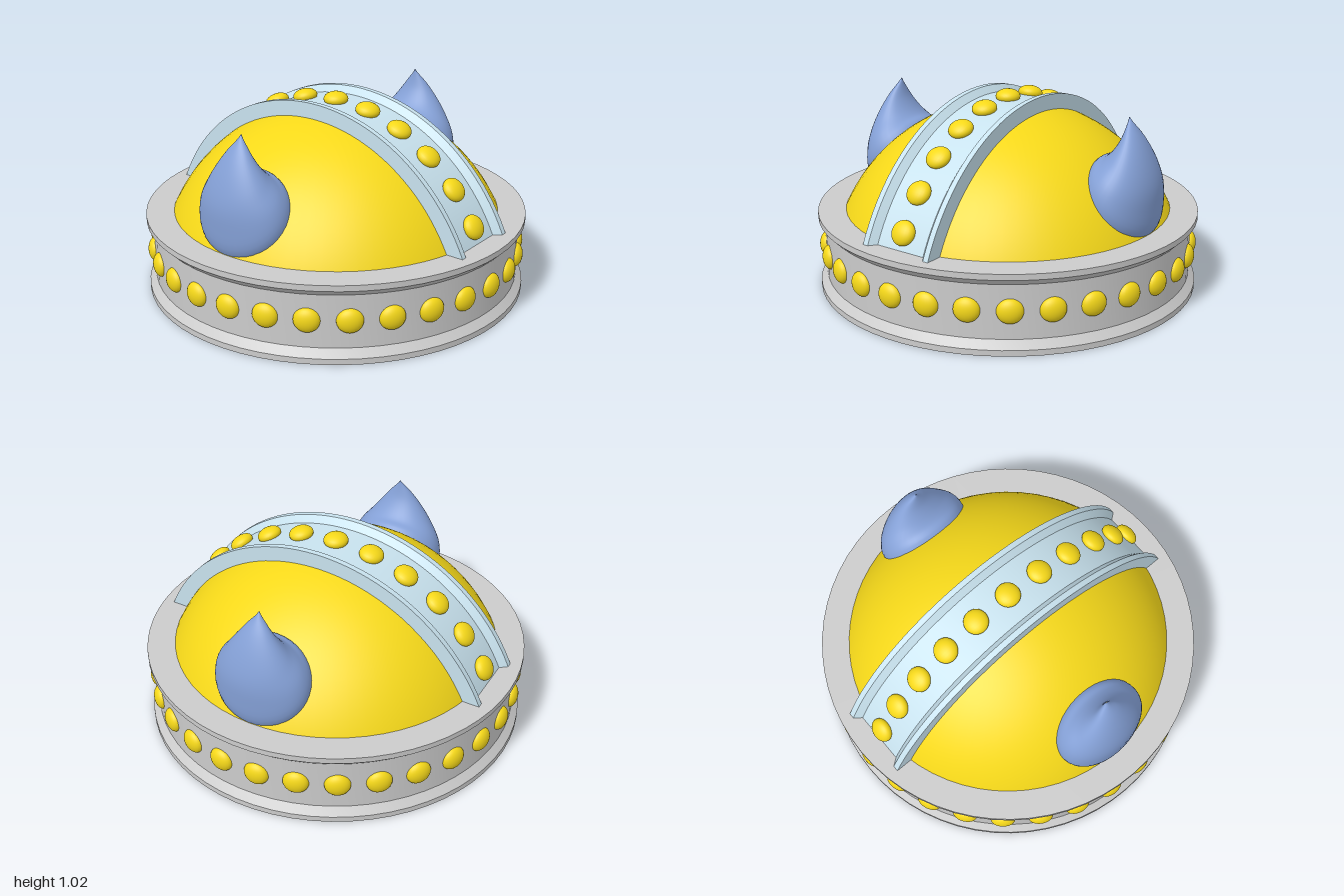
import * as THREE from 'three';
import { toCreasedNormals } from 'three/addons/utils/BufferGeometryUtils.js';

const material = (color, side = THREE.FrontSide) => new THREE.MeshStandardMaterial({ color, side });
const gold = material(0xf5d819);
const goldShell = material(0xf5d819, THREE.DoubleSide);
const steel = material(0xcccccc);
const paleBlue = material(0xc8e2ee);
const hornBlue = material(0x84a0d6);

function addMesh(parent, name, geometry, mat) {
  const mesh = new THREE.Mesh(geometry, mat);
  mesh.name = name;
  parent.add(mesh);
  return mesh;
}

// Revolved profile of [radius, height] pairs with crisp edges
function turned(profile, segments, start = 0, length = Math.PI * 2) {
  const points = profile.map(([r, h]) => new THREE.Vector2(r, h));
  return toCreasedNormals(new THREE.LatheGeometry(points, segments, start, length), 0.4);
}

// Curved horn on the +x side, lofted through elliptical sections:
// [inner x, inner y, outer x, outer y, half width in z]
function hornGeometry() {
  const sections = [
    [0.52, 0.70, 0.80, 0.36, 0.25],
    [0.58, 0.77, 0.86, 0.42, 0.255],
    [0.62, 0.787, 0.877, 0.55, 0.23],
    [0.655, 0.82, 0.874, 0.66, 0.18],
    [0.69, 0.875, 0.842, 0.775, 0.12],
    [0.708, 0.93, 0.79, 0.885, 0.06],
    [0.718, 0.985, 0.72, 0.985, 0.001],
  ];
  const sides = 40, rings = 24;
  // Smooth interpolation of the section ends and widths
  const inner = new THREE.CatmullRomCurve3(sections.map(s => new THREE.Vector3(s[0], s[1], 0)));
  const outer = new THREE.CatmullRomCurve3(sections.map(s => new THREE.Vector3(s[2], s[3], 0)));
  const width = new THREE.SplineCurve(sections.map((s, i) => new THREE.Vector2(i, s[4])));
  const positions = [], index = [];
  for (let i = 0; i <= rings; i++) {
    const t = i / rings;
    const a = inner.getPoint(t), b = outer.getPoint(t), w = width.getPoint(t).y;
    for (let j = 0; j < sides; j++) {
      const angle = (j / sides) * Math.PI * 2;
      const p = a.clone().lerp(b, 0.5 + 0.5 * Math.cos(angle));
      positions.push(p.x, p.y, -w * Math.sin(angle));
      if (i === rings) continue;
      const k = (j + 1) % sides;
      const p0 = i * sides + j, p1 = i * sides + k;
      index.push(p0, p1, p1 + sides, p0, p1 + sides, p0 + sides);
    }
  }
  const geometry = new THREE.BufferGeometry();
  geometry.setAttribute('position', new THREE.Float32BufferAttribute(positions, 3));
  geometry.setIndex(index);
  geometry.computeVertexNormals();
  return geometry;
}

export function createModel() {
  const model = new THREE.Group();
  model.name = 'hornedHelmet';

  // Hemispherical cap, closed underneath except for a small centre hole
  const domeProfile = [[0.03, 0]];
  for (let i = 0; i <= 32; i++) {
    const a = (i / 32) * Math.PI / 2;
    domeProfile.push([0.948 * Math.cos(a), 0.948 * Math.sin(a)]);
  }
  addMesh(model, 'dome', turned(domeProfile, 64), goldShell);

  // Brow band with a flared lip at top and bottom
  addMesh(model, 'browBand', turned([
    [0.948, 0], [1, 0], [1, 0.03], [0.965, 0.07],
    [0.965, 0.345], [1, 0.38], [1, 0.41], [0.82, 0.41],
  ], 64), steel);

  // Front-to-back crest: a channel section swept over the dome
  const sweep = THREE.MathUtils.degToRad(136);
  const crest = turned([
    [0.86, -0.2], [1.007, -0.2], [1.007, -0.17], [0.972, -0.14],
    [0.972, 0.14], [1.007, 0.17], [1.007, 0.2], [0.86, 0.2],
  ], 48, -sweep / 2, sweep);
  crest.rotateZ(-Math.PI / 2).rotateX(-Math.PI / 2);
  addMesh(model, 'crest', crest, paleBlue);

  // Flattened studs: local z points outward
  const stud = new THREE.SphereGeometry(1, 24, 16).scale(0.065, 0.063, 0.038);
  const step = Math.PI / 15;

  const bandStuds = new THREE.Group();
  bandStuds.name = 'bandStuds';
  for (let i = 0; i < 30; i++) {
    const mesh = addMesh(bandStuds, 'bandStud', stud, gold);
    mesh.position.set(0.962 * Math.sin(i * step), 0.212, 0.962 * Math.cos(i * step));
    mesh.rotation.y = i * step;
  }
  model.add(bandStuds);

  const crestStuds = new THREE.Group();
  crestStuds.name = 'crestStuds';
  for (let i = -5; i <= 5; i++) {
    const mesh = addMesh(crestStuds, 'crestStud', stud, gold);
    mesh.position.set(0, 0.985 * Math.cos(i * step), 0.985 * Math.sin(i * step));
    mesh.rotation.x = i * step - Math.PI / 2;
  }
  model.add(crestStuds);

  // Pair of horns
  const horn = hornGeometry();
  addMesh(model, 'leftHorn', horn, hornBlue);
  addMesh(model, 'rightHorn', horn, hornBlue).rotation.y = Math.PI;

  return model;
}
